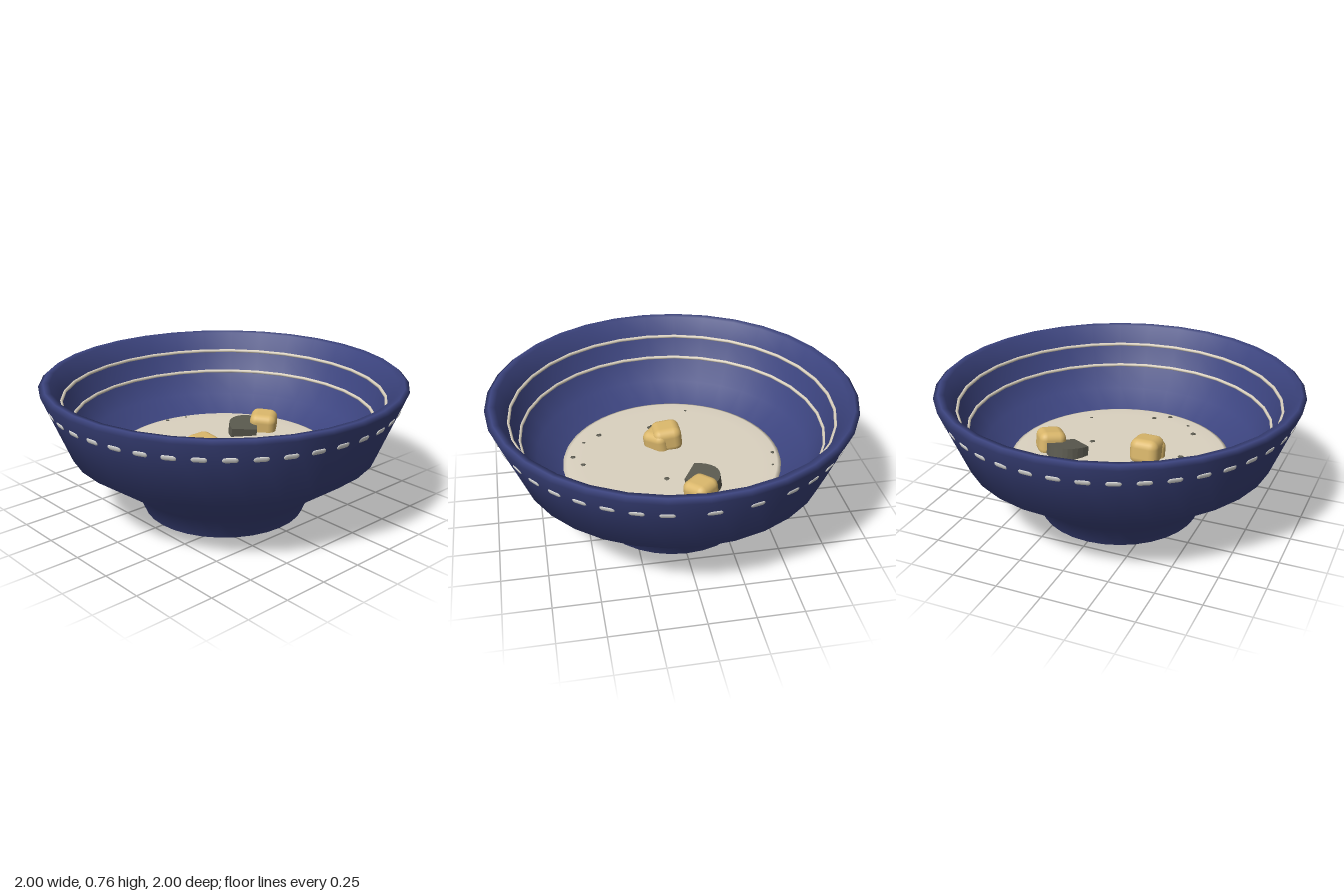
import * as THREE from 'three';
import { RoundedBoxGeometry } from 'three/addons/geometries/RoundedBoxGeometry.js';

const material = (name, color) => {
  const m = new THREE.MeshStandardMaterial({ color });
  m.name = name;
  return m;
};

export function createModel() {
  const blue = material('blue glaze', 0x3c447f);
  const cream = material('cream', 0xdbd2c0);
  const white = material('off white', 0xdcdcda);
  const tan = material('toasted tan', 0xdab76b);
  const dark = material('dark grey', 0x5b5a4f);

  const group = new THREE.Group();
  group.name = 'soupBowl';
  const add = (name, geometry, mat, x = 0, y = 0, z = 0) => {
    const mesh = new THREE.Mesh(geometry, mat);
    mesh.name = name;
    mesh.position.set(x, y, z);
    group.add(mesh);
    return mesh;
  };
  const lathe = (points, sides) =>
    new THREE.LatheGeometry(points.map(([r, y]) => new THREE.Vector2(r, y)), sides);

  // Bowl: foot, flared outer wall, rim, then the inner wall
  const SIDES = 32;
  add('bowl', lathe([
    [0, 0.01], [0.4, 0.01], [0.43, 0], [0.45, 0], [0.5, 0.12], [0.85, 0.37], [1, 0.74],
    [0.975, 0.76], [0.94, 0.755], [0.885, 0.65], [0.835, 0.53], [0.75, 0.41],
    [0.5, 0.25], [0, 0.25],
  ], SIDES), blue);
  add('baseDisc', new THREE.CylinderGeometry(0.25, 0.25, 0.008, 40), white, 0, 0.007, 0);

  // Two raised bands inside the bowl
  for (const [r, y] of [[0.885, 0.65], [0.835, 0.53]]) {
    add('innerBand', new THREE.TorusGeometry(r, 0.01, 8, SIDES), cream, 0, y, 0).rotation.x = Math.PI / 2;
  }

  // Dashes around the outer wall, evenly spaced apart from a wider gap on one side
  const angles = [1.6, 1.82];
  for (let i = 0; i < 39; i++) angles.push(2.03 + i * 0.148);
  const dash = new THREE.CapsuleGeometry(0.016, 0.044, 4, 8);
  dash.rotateZ(Math.PI / 2).scale(1, 1, 0.3).rotateX(0.385);
  const step = (Math.PI * 2) / SIDES;
  for (const a of angles) {
    // Follow the flat facets of the wall
    const off = a - (Math.floor(a / step) + 0.5) * step;
    const r = 0.9665 * Math.cos(step / 2) / Math.cos(off);
    add('dash', dash, white, Math.sin(a) * r, 0.655, Math.cos(a) * r).rotation.y = a;
  }

  // Soup surface with a softened edge
  const TOP = 0.33;
  add('soup', lathe([[0.6, 0.3], [0.612, 0.322], [0.59, TOP], [0.5, TOP], [0, TOP]], 64), cream);

  // Croutons
  const crouton = (size, x, y, z, rx, ry, rz) =>
    add('crouton', new RoundedBoxGeometry(size, size * 0.9, size, 3, size * 0.28), tan, x, y, z)
      .rotation.set(rx, ry, rz);
  crouton(0.165, -0.16, 0.375, 0.005, 0.1, 0, 0);
  crouton(0.155, -0.16, 0.355, 0.045, 0.15, Math.PI / 4, 0);
  crouton(0.155, 0.39, 0.365, -0.085, 0.08, Math.PI / 4 - 0.1, 0.05);

  // Dark fan-shaped slice, leaning towards the front
  const fan = new THREE.Shape();
  fan.moveTo(0, 0);
  fan.lineTo(-0.125, 0.08);
  fan.quadraticCurveTo(-0.08, 0.195, 0.01, 0.195);
  fan.quadraticCurveTo(0.08, 0.19, 0.11, 0.13);
  fan.closePath();
  const slice = new THREE.ExtrudeGeometry(fan, { depth: 0.08, bevelEnabled: false, curveSegments: 6 });
  slice.rotateX(-Math.PI / 2);
  add('slice', slice, dark, 0.275, 0.29, -0.03).rotation.x = 0.15;

  // Specks of seasoning: x, z, radius
  for (const [x, z, r] of [
    [0.05, -0.57, 0.012], [0.17, -0.54, 0.008], [-0.49, -0.17, 0.008], [-0.345, 0.055, 0.02],
    [-0.335, 0.075, 0.018], [0.2, 0.065, 0.016], [-0.305, 0.38, 0.017], [-0.24, 0.475, 0.01],
    [-0.1, 0.55, 0.015], [-0.015, 0.5, 0.015], [0.34, 0.36, 0.01],
  ]) {
    add('speck', new THREE.DodecahedronGeometry(r), dark, x, TOP, z).scale.y = 0.4;
  }

  return group;
}
